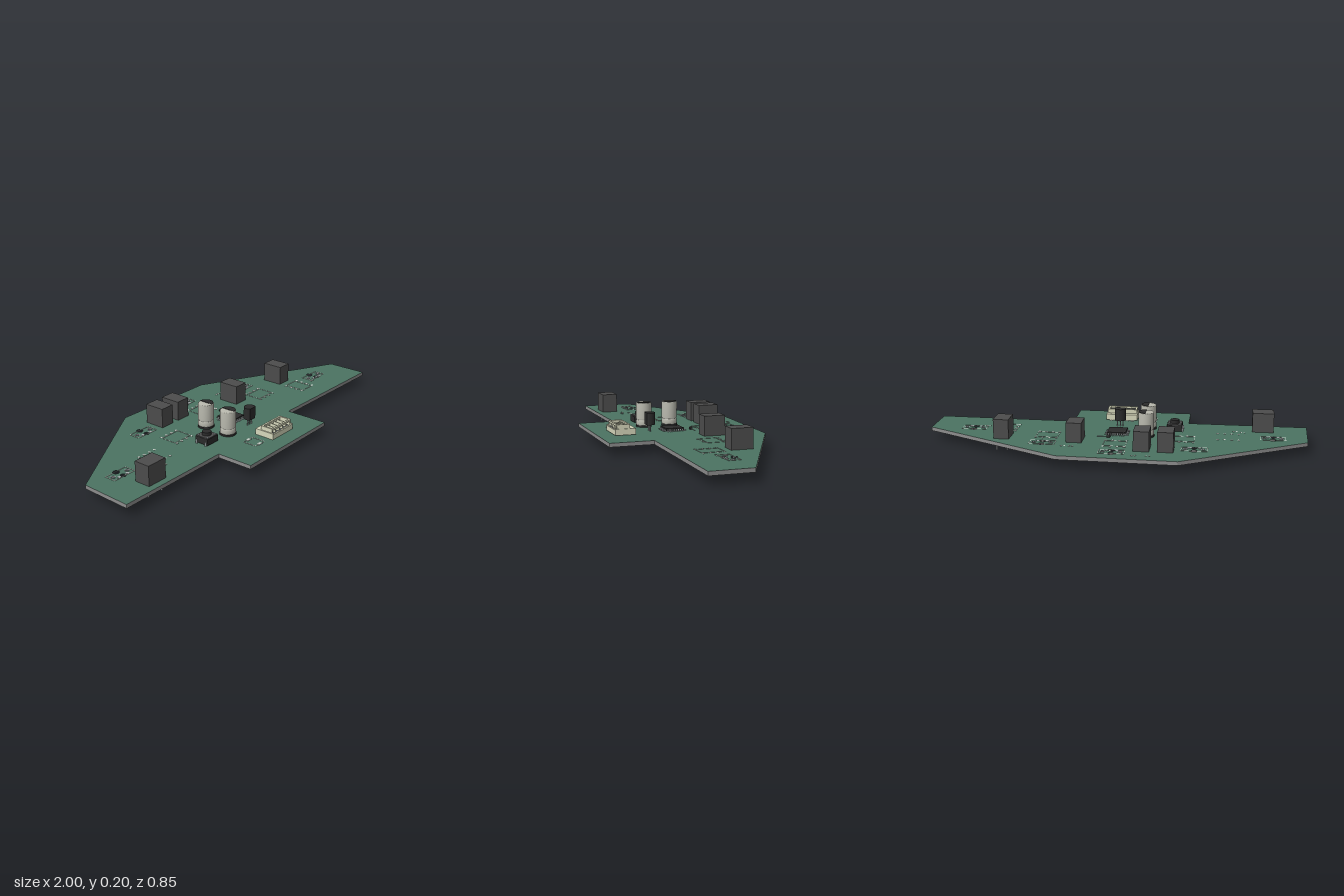
import * as THREE from 'three';
import { RoundedBoxGeometry } from 'three/addons/geometries/RoundedBoxGeometry.js';

const mat = (color) => new THREE.MeshStandardMaterial({ color });
const M = {
  green: mat(0x4b7362), edge: mat(0x8c8c8c), block: mat(0x4c4c4c), dark: mat(0x2b2b2b),
  metal: mat(0xa4abad), can: mat(0xb9b9ae), cream: mat(0xd6d7bb), silk: mat(0xc4cbc4),
};
const TOP = 0.065, UNDER = 0.045;

export function createModel() {
  const root = new THREE.Group();
  root.name = 'circuitBoard';

  const add = (parent, name, geo, m, x = 0, y = 0, z = 0) => {
    const mesh = new THREE.Mesh(geo, m);
    mesh.name = name;
    mesh.position.set(x, y, z);
    parent.add(mesh);
    return mesh;
  };
  const part = (name, x, z) => {
    const g = new THREE.Group();
    g.name = name;
    g.position.set(x, 0, z);
    root.add(g);
    return g;
  };
  const box = (p, name, m, w, y0, y1, d, x = 0, z = 0) =>
    add(p, name, new THREE.BoxGeometry(w, y1 - y0, d), m, x, (y0 + y1) / 2, z);
  const rod = (p, name, m, r, y0, y1, x = 0, z = 0, n = 16) =>
    add(p, name, new THREE.CylinderGeometry(r, r, y1 - y0, n), m, x, (y0 + y1) / 2, z);
  // Flat shape in plan (x, -z), extruded upward from y0 to y1
  const plate = (p, name, m, shape, y0, y1) => {
    const geo = new THREE.ExtrudeGeometry(shape, { depth: y1 - y0, bevelEnabled: false, curveSegments: 16 });
    return add(p, name, geo.rotateX(-Math.PI / 2), m, 0, y0, 0);
  };
  const circle = (x, z, r) => new THREE.Path().absarc(x, -z, r, 0, Math.PI * 2, true);
  const frame = (p, w, d, x = 0, z = 0, t = 0.004) => {
    for (const s of [-1, 1]) {
      box(p, 'outlineLong', M.silk, w, TOP, TOP + 0.0015, t, x, z + s * d / 2);
      box(p, 'outlineShort', M.silk, t, TOP, TOP + 0.0015, d, x + s * w / 2, z);
    }
  };

  // Board with drilled sensor holes
  const sensors = [[-0.815, -0.005], [-0.42, -0.235], [-0.015, -0.325], [0.355, -0.215], [0.765, 0]];
  const outline = [[-0.35, -0.43], [0.25, -0.415], [1, -0.02], [1, 0.2], [0.26, 0.19],
    [0.26, 0.42], [-0.37, 0.42], [-0.37, 0.225], [-1, 0.225], [-0.99, -0.045]];
  const boardShape = new THREE.Shape(outline.map(([x, z]) => new THREE.Vector2(x, -z)));
  for (const [x, z] of sensors) {
    boardShape.holes.push(circle(x, z - 0.021, 0.016), circle(x, z + 0.027, 0.014));
    for (const s of [-1, 1]) boardShape.holes.push(circle(x + s * 0.045, z + 0.005, 0.008));
  }
  plate(root, 'board', [M.green, M.edge], boardShape, UNDER, TOP);

  // Sensor footprints: printed outline and plated rings
  for (const [x, z] of sensors) {
    const g = part('sensorFootprint', x, z);
    frame(g, 0.13, 0.06, 0, 0.005, 0.003);
    for (const s of [-1, 1]) {
      const ring = new THREE.Shape().absarc(s * 0.045, -0.005, 0.012, 0, Math.PI * 2);
      ring.holes.push(circle(s * 0.045, 0.005, 0.008));
      plate(g, 'platedRing', M.metal, ring, UNDER - 0.001, TOP + 0.002);
      rod(g, 'pad', M.metal, 0.009, UNDER - 0.001, TOP + 0.002, s * 0.026, 0.027, 12);
    }
  }

  // Empty eight-pin footprints
  const footprints = [[-0.585, 0.002, 0], [-0.355, -0.063, 1], [-0.015, -0.185, 1], [0.352, -0.077, 1], [0.59, 0.027, 2]];
  for (const [x, z, kind] of footprints) {
    const g = part('chipFootprint', x, z);
    if (kind === 2) g.rotation.y = Math.PI / 2;
    if (kind) frame(g, 0.115, 0.085, 0, 0, 0.002);
    for (let i = 0; i < 4; i++) for (const s of [-1, 1]) {
      rod(g, 'pad', M.silk, 0.007, UNDER - 0.001, TOP + 0.0015, (i - 1.5) * 0.036, s * 0.052, 10);
    }
  }

  // Tall rectangular blocks with through-hole pins
  const blocks = [[-0.765, 0.148, 0.112, 0.085], [-0.28, -0.245, 0.08, 0.11], [-0.16, -0.245, 0.08, 0.11],
    [0.195, -0.14, 0.08, 0.112], [0.577, -0.125, 0.08, 0.112]];
  for (const [x, z, w, d] of blocks) {
    const g = part('blockComponent', x, z);
    box(g, 'blockBody', M.block, w, TOP, 0.168, d);
    for (const sx of [-1, 1]) for (const sz of [-1, 1]) {
      rod(g, 'blockPin', M.metal, 0.005, 0, TOP, sx * (w / 2 - 0.012), sz * (d / 2 - 0.018), 8);
    }
  }

  // Can capacitors with a crimped groove and a marked top
  const canProfile = [[0, 0.072], [0.038, 0.072], [0.041, 0.077], [0.041, 0.097], [0.038, 0.101], [0.038, 0.104],
    [0.041, 0.108], [0.041, 0.191], [0.037, 0.196], [0, 0.196]].map(([r, y]) => new THREE.Vector2(r, y));
  for (const z of [-0.033, 0.112]) {
    const g = part('capacitor', -0.16, z);
    const can = new THREE.LatheGeometry(canProfile, 32).toNonIndexed();
    can.computeVertexNormals();
    add(g, 'capacitorCan', new THREE.LatheGeometry(canProfile, 32), M.can);
    rod(g, 'capacitorBase', M.dark, 0.043, TOP, 0.074, 0, 0, 32);
    const mark = new THREE.Shape().absarc(0, 0, 0.038, -Math.PI / 2, Math.PI / 2);
    plate(g, 'polarityMark', M.dark, mark, 0.194, 0.1975);
    for (const s of [-1, 1]) rod(g, 'capacitorPin', M.metal, 0.005, 0, TOP, s * 0.022, 0, 8);
  }

  // Square chip with leads on four sides
  const chip = part('processor', -0.005, 0.005);
  box(chip, 'chipBody', M.dark, 0.098, 0.068, 0.081, 0.098);
  rod(chip, 'chipDot', M.block, 0.005, 0.08, 0.0815, -0.037, -0.037, 12);
  for (let side = 0; side < 4; side++) {
    const g = new THREE.Group();
    g.name = 'leadRow';
    g.rotation.y = side * Math.PI / 2;
    chip.add(g);
    for (let i = 0; i < 8; i++) {
      const x = (i - 3.5) * 0.0115;
      box(g, 'leadFoot', M.metal, 0.005, TOP, 0.068, 0.016, x, 0.054);
      box(g, 'leadRise', M.metal, 0.005, TOP, 0.075, 0.004, x, 0.05);
    }
  }

  // Half-round transistor on three legs
  const tr = part('transistor', -0.005, 0.13);
  const half = new THREE.Shape().absarc(0, 0, 0.03, -0.75, Math.PI + 0.75);
  plate(tr, 'transistorBody', M.dark, half, 0.1, 0.164);
  for (const i of [-1, 0, 1]) rod(tr, 'transistorLeg', M.metal, 0.003, 0.025, 0.1, i * 0.015, 0, 8);

  // Push button
  const btn = part('pushButton', -0.302, 0.092);
  box(btn, 'buttonBase', M.dark, 0.08, 0.069, 0.102, 0.08);
  box(btn, 'buttonPlate', M.block, 0.076, 0.102, 0.106, 0.076);
  rod(btn, 'buttonCap', M.dark, 0.023, 0.106, 0.124, 0, 0, 24);
  for (const sx of [-1, 1]) for (const sz of [-1, 1]) {
    rod(btn, 'buttonRivet', M.metal, 0.006, 0.104, 0.109, sx * 0.029, sz * 0.029, 12);
    box(btn, 'buttonPin', M.metal, 0.006, 0.028, 0.085, 0.008, sx * 0.043, sz * 0.029);
  }

  // Five-way socket connector: stepped side walls, open front slots and pins
  const con = part('connector', 0, 0.285);
  box(con, 'connectorFloor', M.cream, 0.166, 0.068, 0.078, 0.108);
  box(con, 'connectorBack', M.cream, 0.166, 0.078, 0.1, 0.03, 0, -0.039);
  box(con, 'connectorRearWall', M.cream, 0.15, 0.078, 0.122, 0.01, 0, -0.02);
  box(con, 'connectorFrontWall', M.cream, 0.166, 0.078, 0.095, 0.008, 0, 0.05);
  box(con, 'connectorFrontRail', M.cream, 0.15, 0.112, 0.122, 0.01, 0, 0.04);
  for (const s of [-1, 1]) {
    box(con, 'connectorSide', M.cream, 0.01, 0.068, 0.1, 0.108, s * 0.08);
    box(con, 'connectorSideTop', M.cream, 0.01, 0.1, 0.122, 0.068, s * 0.075, 0.01);
  }
  for (let i = 0; i < 5; i++) {
    const x = (i - 2) * 0.029;
    if (i < 4) box(con, 'slotDivider', M.cream, 0.005, 0.078, 0.116, 0.06, x + 0.0145, 0.012);
    box(con, 'contactPin', M.metal, 0.007, 0.088, 0.095, 0.065, x, 0.012);
    box(con, 'solderPin', M.metal, 0.007, 0.026, 0.085, 0.007, x, -0.035);
    rod(con, 'solderPad', M.silk, 0.01, TOP, TOP + 0.002, x, -0.05, 12);
  }

  // Small axial part and an empty footprint beside the connector
  const ax = part('axialPart', 0.04, -0.088);
  add(ax, 'axialBody', new RoundedBoxGeometry(0.02, 0.015, 0.015, 2, 0.004), M.dark, -0.01, 0.074, 0);
  box(ax, 'axialLead', M.metal, 0.07, 0.07, 0.073, 0.003, 0.015);
  const spare = part('spareFootprint', -0.155, 0.275);
  frame(spare, 0.07, 0.075, 0, 0, 0.003);
  for (const s of [-1, 1]) box(spare, 'pad', M.silk, 0.025, TOP, TOP + 0.002, 0.016, 0, s * 0.035);

  // Small surface pads scattered on the board
  for (const [x, z] of [[-0.2, -0.365], [-0.13, -0.365], [0.2, -0.255], [0.24, -0.255], [-0.66, 0.085], [-0.62, 0.1], [0.7, 0.04]]) {
    const g = part('smallPads', x, z);
    for (const s of [-1, 1]) box(g, 'pad', M.silk, 0.008, TOP, TOP + 0.002, 0.01, s * 0.008);
  }
  return root;
}
